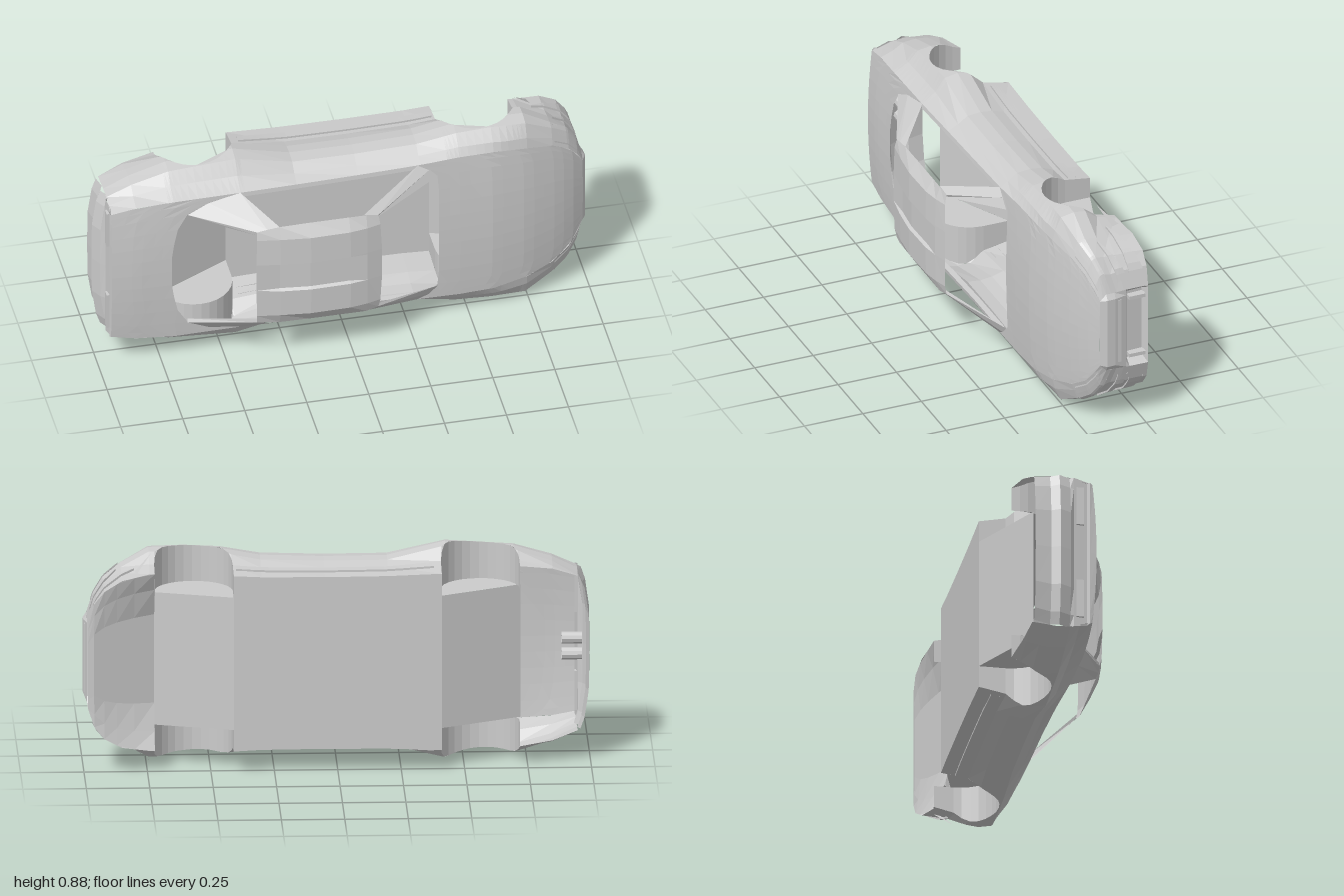
import * as THREE from 'three';

const MAT = new THREE.MeshStandardMaterial({ color: 0xcccccc, flatShading: true, side: THREE.DoubleSide });

// Stations along the length:
// x, shoulder half-width, shoulder z, centreline z, widest half-width, sill half-width, sill z
const ST = [
  [-0.95, 0.30, 0.095, 0.112, 0.325, 0.31, -0.145],
  [-0.85, 0.32, 0.10, 0.12, 0.372, 0.35, -0.165],
  [-0.70, 0.33, 0.105, 0.12, 0.418, 0.37, -0.19],
  [-0.43, 0.33, 0.10, 0.11, 0.438, 0.36, -0.26],
  [-0.20, 0.325, 0.088, 0.09, 0.382, 0.352, -0.26],
  [0.05, 0.325, 0.08, 0.085, 0.38, 0.35, -0.26],
  [0.30, 0.33, 0.075, 0.085, 0.388, 0.352, -0.26],
  [0.46, 0.337, 0.068, 0.083, 0.418, 0.36, -0.26],
  [0.60, 0.335, 0.062, 0.079, 0.426, 0.365, -0.24],
  [0.74, 0.315, 0.04, 0.056, 0.424, 0.36, -0.23],
  [0.85, 0.285, 0.005, 0.02, 0.362, 0.34, -0.255],
  [0.92, 0.24, -0.022, -0.01, 0.31, 0.30, -0.268],
  [0.96, 0.19, -0.043, -0.036, 0.25, 0.25, -0.268],
  [0.985, 0.145, -0.06, -0.056, 0.175, 0.175, -0.264],
];
const lerp = THREE.MathUtils.lerp;

// Linear lookup of column c at x in a table sorted on column 0
function look(table, x, c) {
  let i = 0;
  while (i < table.length - 2 && x > table[i + 1][0]) i++;
  const a = table[i], b = table[i + 1];
  const t = THREE.MathUtils.clamp((x - a[0]) / (b[0] - a[0]), 0, 1);
  return lerp(a[c], b[c], t);
}
const at = (x, c) => look(ST, x, c);

// Evenly spaced values
const span = (a, b, n) => Array.from({ length: n + 1 }, (_, i) => lerp(a, b, i / n));

// Heights of the side's horizontal creases, sill to shoulder
function creases(x) {
  const zs = at(x, 2);
  return [at(x, 6), Math.min(-0.15, zs - 0.1), Math.min(-0.1, zs - 0.07), Math.min(-0.05, zs - 0.045),
    Math.min(0.005, zs - 0.025), Math.min(0.045, zs - 0.01), zs];
}

// Half-width of the body side at a given x and height z
function sideY(x, z) {
  const hs = at(x, 1), hm = at(x, 4), sill = at(x, 5);
  const w = [sill, lerp(sill, hm, 0.3), hm - 0.006, hm, lerp(hs, hm, 0.9), lerp(hs, hm, 0.4), hs];
  return look(creases(x).map((c, i) => [c, w[i]]), z, 1);
}

// Surface through rows of points
function grid(name, rows) {
  const n = rows[0].length, idx = [];
  for (let i = 0; i < rows.length - 1; i++)
    for (let j = 0; j < n - 1; j++) {
      const a = i * n + j, b = a + n;
      idx.push(a, b, a + 1, a + 1, b, b + 1);
    }
  const g = new THREE.BufferGeometry();
  g.setAttribute('position', new THREE.Float32BufferAttribute(rows.flat(2), 3));
  g.setIndex(idx);
  const flat = g.toNonIndexed();
  flat.computeVertexNormals();
  const m = new THREE.Mesh(flat, MAT);
  m.name = name;
  return m;
}

export function createModel() {
  const root = new THREE.Group();
  root.name = 'carBody';
  const car = new THREE.Group();
  car.name = 'bodyShell';
  car.position.y = 0.44;
  root.add(car);

  const add = (name, rows) => car.add(grid(name, rows));
  // Adds a surface on both flanks
  const both = (name, rows) => {
    add(name + 'A', rows);
    add(name + 'B', rows.map(r => r.map(([x, y, z]) => [x, -y, z]).reverse()));
  };
  // Extends half rows (centre outward) across the centreline
  const whole = (name, rows) => add(name, rows.map(r =>
    [...r.slice().reverse().map(([x, y, z]) => [x, -y, z]), ...r]));

  // Body sides, cut away over the wheels
  const ARCH = [-0.565, 0.565], R = 0.155, AZ = -0.155, EPS = 0.0005;
  const lower = x => {
    for (const c of ARCH) {
      const d = Math.abs(x - c);
      if (d <= R) return AZ + Math.sqrt(R * R - d * d);
    }
    return at(x, 6);
  };
  const archX = c => span(Math.PI, 0, 14).map(a => c + R * 0.9999 * Math.cos(a));
  const xs = [...ST.map(s => s[0]), ...ARCH.flatMap(c => [c - R - EPS, ...archX(c), c + R + EPS])].sort((a, b) => a - b);
  both('bodySide', xs.map(x => creases(x).reverse()
    .map(z => Math.max(z, lower(x))).map(z => [x, sideY(x, z), z])));

  // Wheel wells: curved liner and inner wall down to the sloping floors
  const WELL = 0.27, REAR_Z = -0.10, FRONT_Z = -0.165;
  for (const [i, c] of ARCH.entries()) {
    const label = i ? 'frontWheelWell' : 'rearWheelWell';
    const ends = i ? [-0.26, FRONT_Z] : [REAR_Z, -0.26];
    const ax = archX(c);
    const liner = [[ax[0], at(ax[0], 6)], ...ax.map(x => [x, lower(x)]), [ax[14], at(ax[14], 6)]];
    both(label, liner.map(([x, z]) => [[x, WELL, z], [x, sideY(x, z), z]]));
    both(label + 'InnerWall', ax.map(x =>
      [[x, WELL, lower(x)], [x, WELL, lerp(ends[0], ends[1], (x - c + R) / (2 * R))]]));
  }

  // Hood and boot lid run from the cabin opening to the ends
  const U = [0, 0.2, 0.4, 0.6, 0.8, 0.92, 1];
  const deck = (name, edge, end, n) => whole(name, span(0, 1, n).map(t => U.map((u, j) => {
    const x = lerp(edge[j], end, t);
    return [x, u * at(x, 1), lerp(at(x, 3), at(x, 2), u * u)];
  })));
  deck('hood', [0.375, 0.375, 0.375, 0.375, 0.37, 0.335, 0.28], 0.985, 14);
  deck('bootLid', [-0.71, -0.71, -0.70, -0.685, -0.645, -0.56, -0.43], -0.95, 6);

  // Roof with a shallow centre channel
  const roof = [[-0.39, 0.222, 0.238], [-0.30, 0.234, 0.252], [-0.18, 0.236, 0.265],
    [-0.02, 0.236, 0.262], [0.05, 0.236, 0.25], [0.10, 0.225, 0.234]];
  whole('roof', roof.map(([x, w, z], i) => {
    const step = i > 0 && i < 4 ? 0.012 : 0;
    const bow = i === 5 ? 0.012 : i === 0 ? -0.005 : 0;
    return [[x + bow, 0, z - step], [x + bow, 0.058, z - step], [x + bow, 0.066, z],
      [x + bow / 2, 0.185, z - 0.003], [x, w, Math.min(z - 0.012, 0.228)]];
  }));

  // Windscreen pillars, rear pillars and window ledges
  both('windscreenPillar', [
    [[0.04, 0.236, 0.226], [0.10, 0.225, 0.222], [0.085, 0.21, 0.225]],
    [[0.29, 0.329, 0.076], [0.335, 0.305, 0.082], [0.37, 0.27, 0.082]],
  ]);
  both('rearPillar', [
    [[-0.30, 0.234, 0.228], [-0.35, 0.23, 0.23], [-0.39, 0.222, 0.228], [-0.39, 0.205, 0.225]],
    [[-0.43, 0.33, 0.10], [-0.56, 0.305, 0.107], [-0.645, 0.265, 0.113], [-0.645, 0.25, 0.106]],
  ]);
  both('windowLedge', span(-0.43, 0.29, 6).map(x =>
    [[x, at(x, 1), at(x, 2)], [x, at(x, 1) - 0.018, at(x, 2) + 0.003], [x, at(x, 1) - 0.02, at(x, 2) - 0.02]]));

  // Underbody: wide middle floor, trays rising between the wheels, front undertray
  const tray = list => list.map(([x, w, z]) => [[x, 0, z], [x, w, z]]);
  whole('middleFloor', tray([-0.41, -0.2, 0.05, 0.3, 0.41].map(x => [x, at(x, 5), -0.26])));
  whole('rearFloor', tray([[-0.725, WELL, REAR_Z], [-0.41, WELL, -0.26]]));
  whole('frontFloor', tray([[0.41, WELL, -0.26], [0.72, WELL, FRONT_Z]]));
  whole('frontUndertray', [0.72, 0.80, 0.87, 0.92, 0.96, 0.985].map(x => {
    const z = Math.max(-0.264, lerp(FRONT_Z, -0.264, (x - 0.72) / 0.24)), w = at(x, 5);
    return [[x, 0, z], [x, 0.5 * w, z], [x, w * 0.8, lerp(z, at(x, 6), 0.5)], [x, w, at(x, 6)]];
  }));

  // Nose panel with recessed lower intake
  whole('nosePanel', [[0.985, 0.145, -0.058], [1.0, 0.15, -0.085], [0.998, 0.15, -0.12], [0.985, 0.15, -0.17],
    [0.955, 0.15, -0.185], [0.95, 0.15, -0.25], [0.985, 0.165, -0.264]].map(([x, w, z]) =>
    [[x, 0, z], [x, w, z], [0.985, sideY(0.985, z), z]]));

  // Rear panel, stepped in height and bowed in plan
  const tail = [[-0.95, 0.30, 0.112], [-0.955, 0.305, 0.085], [-0.945, 0.31, 0.075], [-0.955, 0.322, 0.02],
    [-0.975, 0.325, 0.005], [-1.0, 0.325, -0.04], [-0.985, 0.32, -0.075], [-0.995, 0.31, -0.14]];
  whole('rearPanel', tail.map(([x, w, z], i) =>
    [0, 0.5, 0.85, 1].map(u => [x + (i > 3 ? 0.035 * u ** 4 : 0), w * u, z - (i === 0 ? 0.017 * u * u : 0)])));

  // Patches standing just proud of the body side
  const patch = (name, x0, x1, z0, z1, off) => both(name, span(0, 1, 12).map(t => {
    const x = lerp(x0, x1, t), zs = span(z0(t, x), z1(t, x), 4);
    return [[x, sideY(x, zs[0]), zs[0]], ...zs.map(z => [x, sideY(x, z) + off, z]), [x, sideY(x, zs[4]), zs[4]]];
  }));
  patch('headlight', 0.86, 0.97, (t, x) => at(x, 2) - 0.005, (t, x) => at(x, 2) - 0.042, 0.007);
  patch('upperBumperBlade', 0.87, 0.975, t => lerp(-0.095, -0.14, t), t => lerp(-0.10, -0.18, t), 0.009);
  patch('lowerBumperBlade', 0.80, 0.965, t => lerp(-0.16, -0.19, t), t => lerp(-0.165, -0.25, t), 0.009);
  patch('sideSkirt', -0.38, 0.40, () => -0.17, () => -0.205, 0.008);

  // Winglets at the front corners
  both('winglet', [[[0.73, 0.428, -0.152], [0.73, 0.428, -0.152]], [[0.80, 0.36, -0.19], [0.79, 0.36, -0.22]]]);

  // Boxes for grille bars and tail lights, cylinders for the exhaust
  const box = (name, sx, sy, sz, x, y, z) => {
    const m = new THREE.Mesh(new THREE.BoxGeometry(sx, sy, sz), MAT);
    m.name = name;
    m.position.set(x, y, z);
    car.add(m);
  };
  for (const s of [-1, 1]) {
    box('tailLight', 0.016, 0.16, 0.03, -0.952, s * 0.20, 0.045);
    box('intakeStrut', 0.035, 0.015, 0.07, 0.965, s * 0.13, -0.22);
    const pipe = new THREE.Mesh(new THREE.CylinderGeometry(0.024, 0.024, 0.08, 10, 1, true), MAT);
    pipe.name = 'exhaustPipe';
    pipe.rotation.z = Math.PI / 2;
    pipe.position.set(-0.93, s * 0.032, -0.03);
    car.add(pipe);
  }
  box('grilleBar', 0.012, 0.28, 0.012, 0.99, 0, -0.14);
  return root;
}
